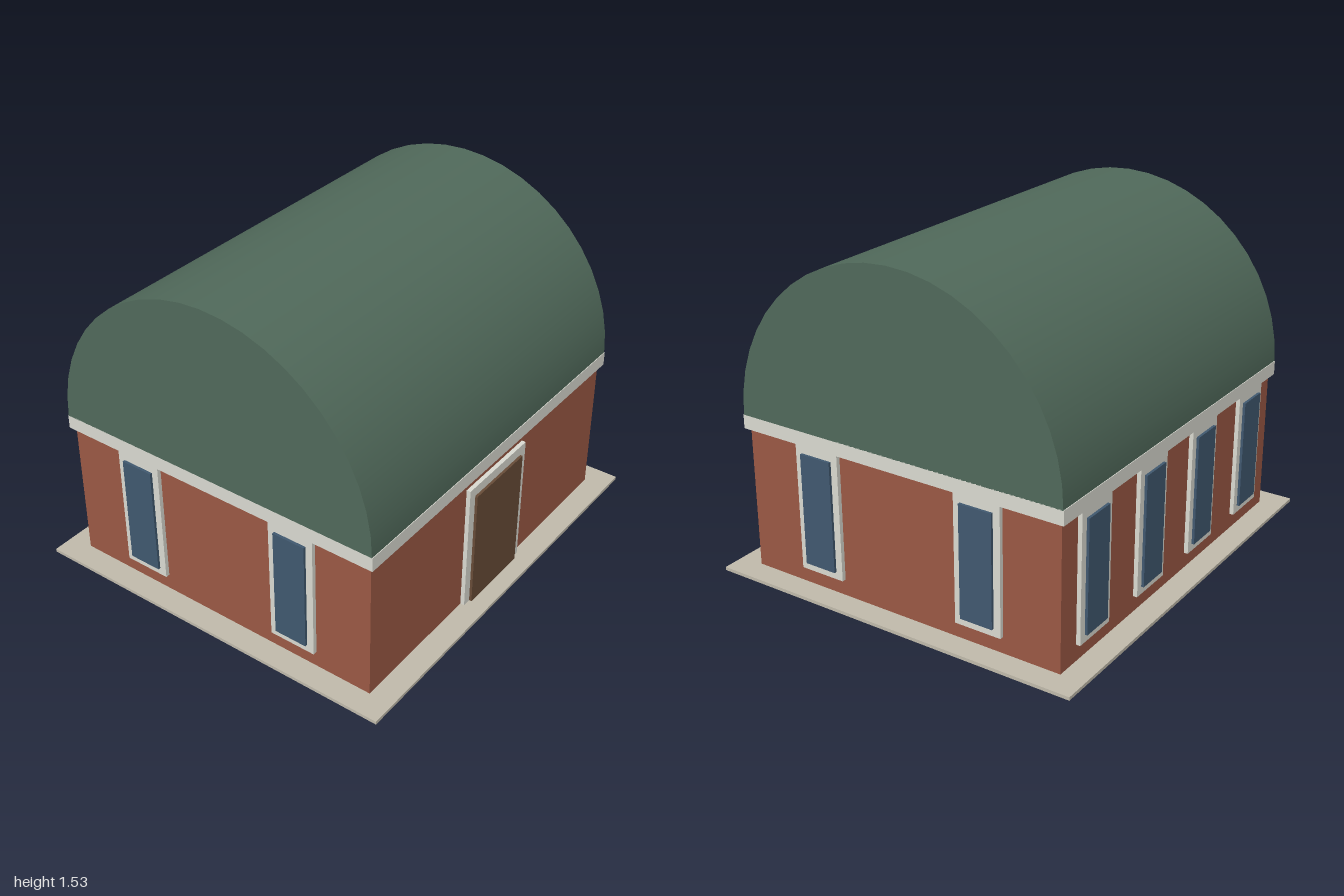
import * as THREE from 'three';

const mat = (color) => new THREE.MeshStandardMaterial({ color });

export function createModel() {
  const model = new THREE.Group();
  const brick = mat(0x9a5844), trim = mat(0xd9d9d0), green = mat(0x50695a);
  const glass = mat(0x40586f), wood = mat(0x674b37), stone = mat(0xbfb9aa);

  // Box with its underside at height y
  function box(parent, name, material, w, h, d, x, y, z) {
    const mesh = new THREE.Mesh(new THREE.BoxGeometry(w, h, d), material);
    mesh.name = name;
    mesh.position.set(x, y + h / 2, z);
    parent.add(mesh);
    return mesh;
  }

  // Ground slab, brick body and eaves band
  box(model, 'groundSlab', stone, 2, 0.015, 1.78, 0, 0, 0);
  box(model, 'walls', brick, 1.78, 0.67, 1.56, 0, 0.01, 0);
  box(model, 'eavesBand', trim, 1.82, 0.065, 1.6, 0, 0.67, 0);

  // Barrel roof: half cylinder lying along x
  const roof = new THREE.Mesh(
    new THREE.CylinderGeometry(0.797, 0.797, 1.82, 24, 1, false, 0, Math.PI), green);
  roof.name = 'barrelRoof';
  roof.rotation.z = Math.PI / 2;
  roof.position.y = 0.733;
  model.add(roof);

  // Window facing +z, its group origin on the wall surface
  function windowUnit(name, x, z, turn) {
    const unit = new THREE.Group();
    unit.name = name;
    box(unit, 'windowFrame', trim, 0.22, 0.585, 0.04, 0, 0.09, 0);
    box(unit, 'windowPane', glass, 0.155, 0.51, 0.04, 0, 0.125, 0.012);
    unit.position.set(x, 0, z);
    unit.rotation.y = turn;
    model.add(unit);
  }
  for (const z of [-0.403, 0.403]) {
    windowUnit('leftWindow', 0.889, z, Math.PI / 2);
    windowUnit('rightWindow', -0.889, z, -Math.PI / 2);
  }
  for (let i = 0; i < 4; i++) {
    windowUnit('backWindow', (i - 1.5) * 0.445, -0.779, Math.PI);
  }

  // Front door with surround
  box(model, 'doorFrame', trim, 0.44, 0.615, 0.04, 0, 0.01, 0.779);
  box(model, 'door', wood, 0.36, 0.572, 0.04, 0, 0.008, 0.791);

  return model;
}
